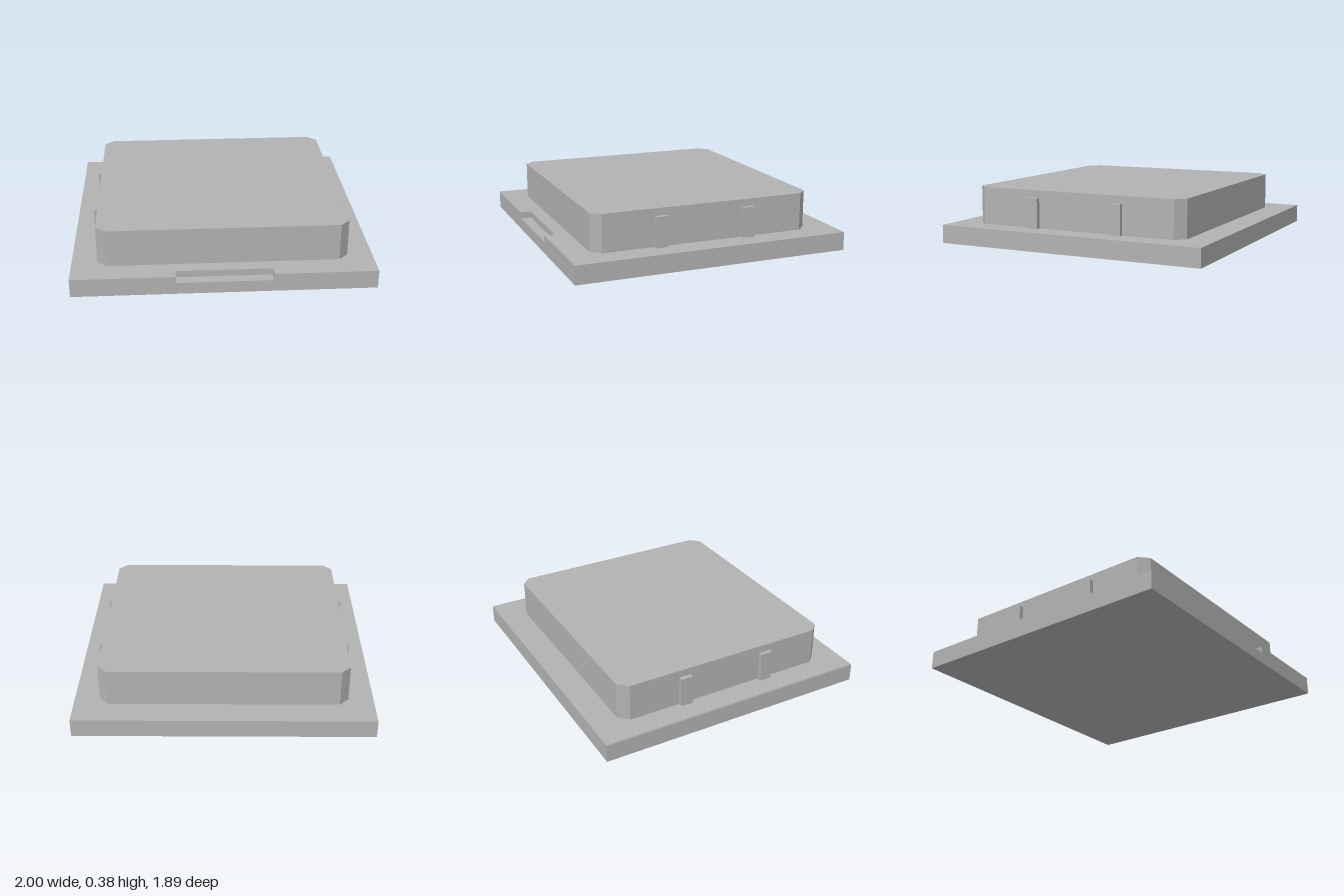
import * as THREE from 'three';

export function createModel() {
  const model = new THREE.Group();
  model.name = 'squareCover';
  const grey = new THREE.MeshStandardMaterial({ color: 0xb2b2b2 });
  grey.name = 'plain grey';

  const halfDepth = 0.946, notchFloor = 0.08, baseTop = 0.125, blockTop = 0.38;

  const add = (name, geometry) => {
    const mesh = new THREE.Mesh(geometry, grey);
    mesh.name = name;
    model.add(mesh);
    return mesh;
  };

  // Plan outline of [x, z] points raised from y0 to y1
  const prism = (name, points, y0, y1) => {
    const shape = new THREE.Shape(points.map(([x, z]) => new THREE.Vector2(x, -z)));
    const geometry = new THREE.ExtrudeGeometry(shape, { depth: y1 - y0, bevelEnabled: false });
    geometry.rotateX(-Math.PI / 2).translate(0, y0, 0);
    return add(name, geometry);
  };

  // Base plate: full slab below, notched layer above
  add('baseSlab', new THREE.BoxGeometry(2, notchFloor, 2 * halfDepth)).position.y = notchFloor / 2;
  const notchX = 0.318, notchZ = 0.872;
  prism('notchedBaseTop', [
    [-1, halfDepth], [-notchX, halfDepth], [-notchX, notchZ], [notchX, notchZ],
    [notchX, halfDepth], [1, halfDepth], [1, -halfDepth], [-1, -halfDepth],
  ], notchFloor, baseTop);

  // Raised block with chamfered vertical corners
  const bx = 0.832, front = 0.778, back = -0.759, c = 0.063;
  prism('raisedBlock', [
    [-bx + c, front], [bx - c, front], [bx, front - c], [bx, back + c],
    [bx - c, back], [-bx + c, back], [-bx, back + c], [-bx, front - c],
  ], baseTop, blockTop);

  // Two clip ribs on each side of the block
  const ribHeight = 0.205, ribWidth = 0.031;
  for (const side of [-1, 1]) {
    for (const z of [-0.297, 0.319]) {
      const rib = add(side > 0 ? 'leftRib' : 'rightRib', new THREE.BoxGeometry(ribWidth, ribHeight, 0.084));
      rib.position.set(side * (bx + ribWidth / 2), baseTop + ribHeight / 2, z);
    }
  }
  return model;
}
